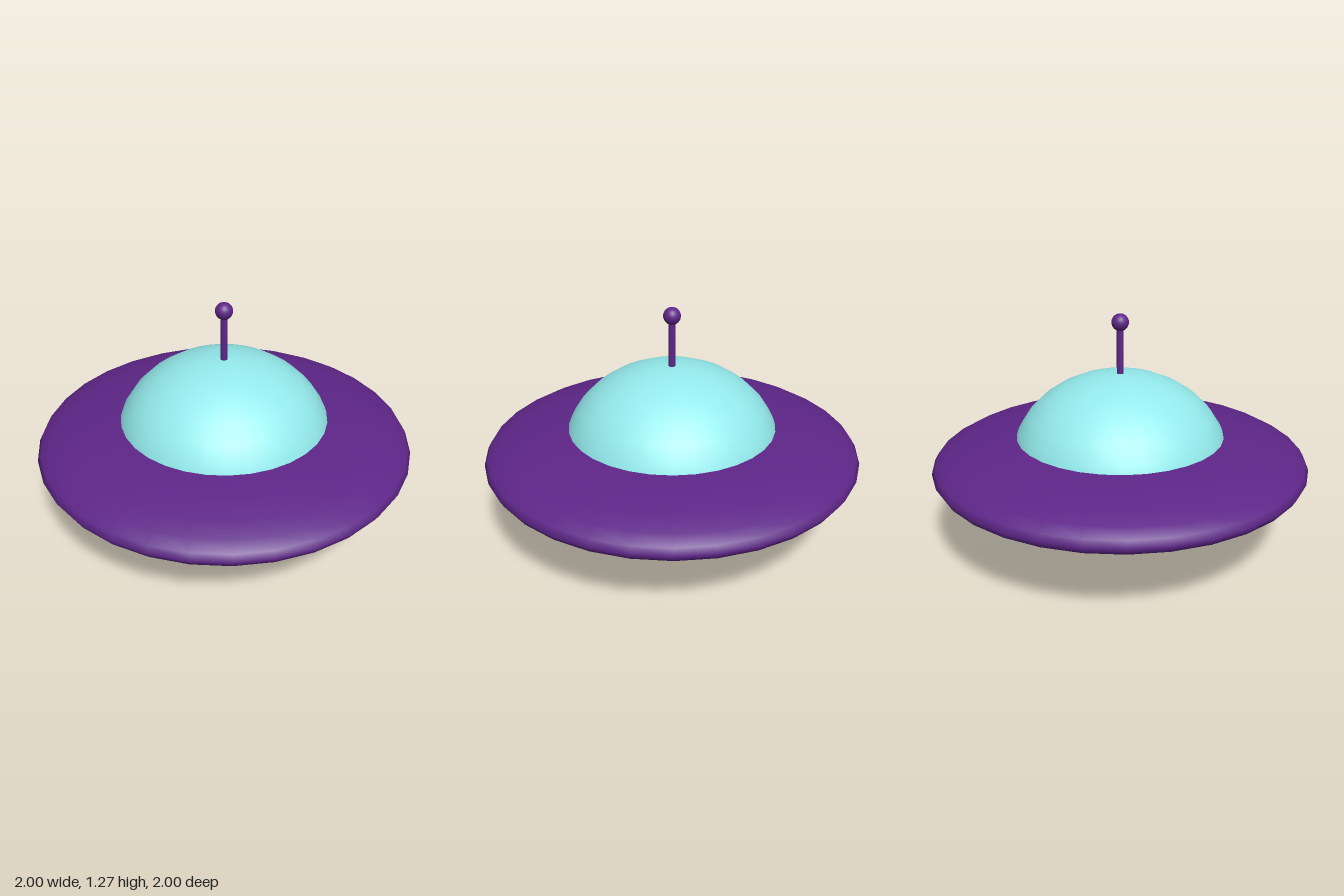
import * as THREE from 'three';

const CENTER_Y = 0.48;

export function createModel() {
  const group = new THREE.Group();
  const purple = new THREE.MeshStandardMaterial({ color: 0x5e2688 });
  const cyan = new THREE.MeshStandardMaterial({ color: 0x94eaec });

  const add = (name, geometry, material, y) => {
    const mesh = new THREE.Mesh(geometry, material);
    mesh.name = name;
    mesh.position.y = y;
    group.add(mesh);
  };

  // Sphere squashed in height
  const ellipsoid = (radius, halfHeight) =>
    new THREE.SphereGeometry(1, 32, 16).scale(radius, halfHeight, radius);

  // Saucer: cabin bulging above and below a thin lens-shaped disc
  add('cabin', ellipsoid(0.583, CENTER_Y), cyan, CENTER_Y);
  add('disc', ellipsoid(1, 0.174), purple, CENTER_Y);

  // Antenna on the crown of the cabin
  add('antennaRod', new THREE.CylinderGeometry(0.018, 0.018, 0.3, 16), purple, 1.07);
  add('antennaBall', new THREE.SphereGeometry(0.045, 32, 16), purple, 1.229);

  return group;
}
